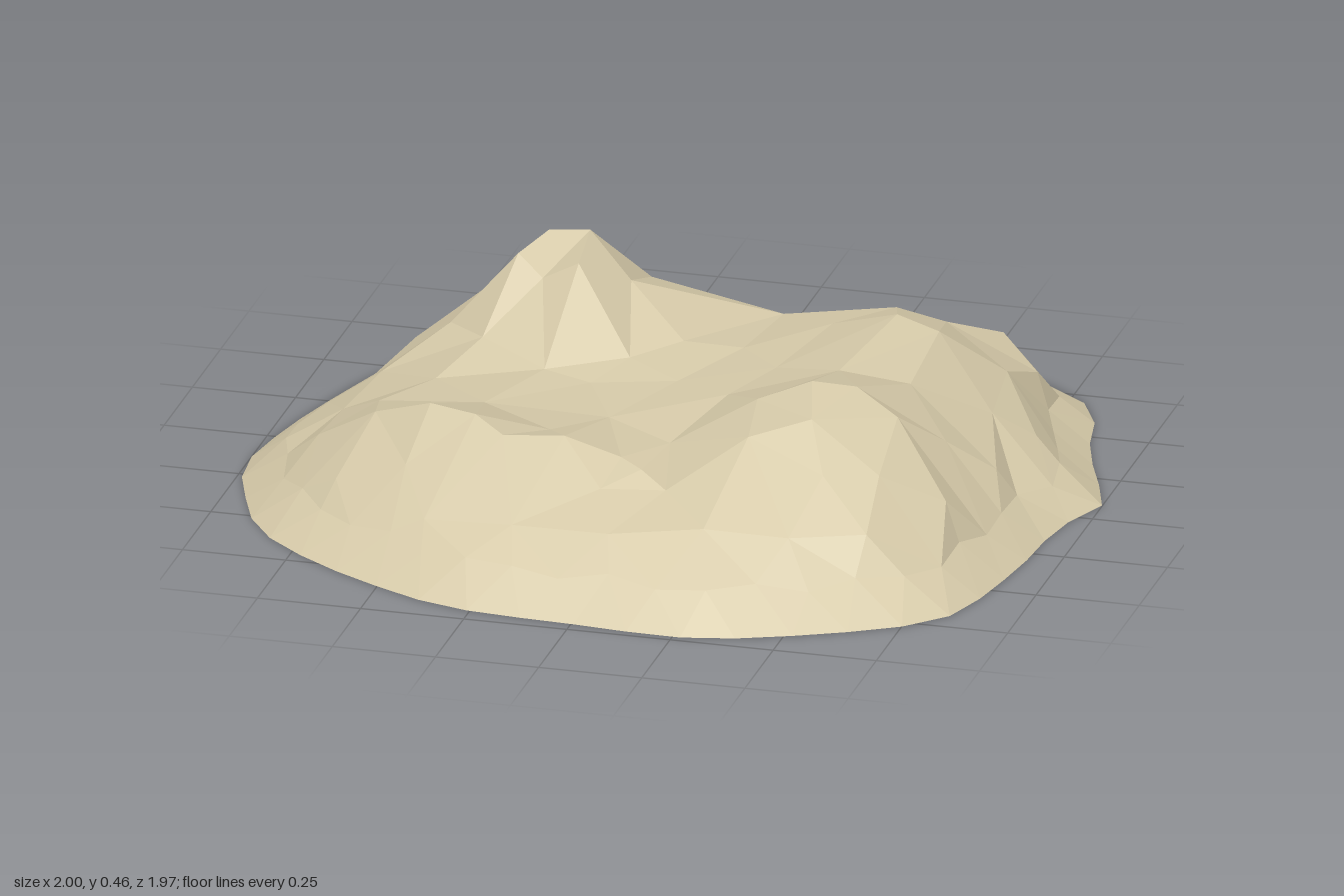
import * as THREE from 'three';
import { ConvexGeometry } from 'three/addons/geometries/ConvexGeometry.js';

// foot of the hill, x, z
const rim = [
  [0.06, -0.99], [0.15, -0.975], [0.28, -0.93], [0.55, -0.85], [0.72, -0.76], [0.82, -0.66],
  [0.87, -0.45], [0.94, -0.25], [1.0, -0.1], [0.94, 0.07], [0.92, 0.3], [0.87, 0.6],
  [0.83, 0.7], [0.73, 0.79], [0.4, 0.95], [0.27, 0.98], [0, 0.965], [-0.29, 0.94],
  [-0.43, 0.89], [-0.7, 0.73], [-0.86, 0.58], [-0.95, 0.38], [-1.0, 0.2], [-0.98, 0],
  [-0.92, -0.25], [-0.86, -0.43], [-0.73, -0.66], [-0.6, -0.75], [-0.35, -0.83], [-0.2, -0.89],
];

// landmarks, x, z, height
const peak = [
  [-0.31, -0.34, 0.46], [-0.41, -0.34, 0.45], [-0.46, -0.25, 0.42], [-0.39, -0.21, 0.38],
  [-0.3, -0.2, 0.43], [-0.2, -0.3, 0.36], [-0.04, -0.18, 0.27], [-0.61, -0.2, 0.25],
  [-0.5, -0.08, 0.27], [-0.58, -0.42, 0.26], [-0.4, -0.52, 0.3], [-0.2, -0.48, 0.3],
];
const basin = [
  [-0.2, 0.06, 0.24], [-0.32, 0.03, 0.25], [-0.14, -0.07, 0.26], [-0.57, 0.08, 0.22],
  [-0.4, 0.27, 0.25], [-0.1, 0.26, 0.24], [0, 0.02, 0.25], [0.1, -0.2, 0.26],
  [0.15, 0.12, 0.27], [0.08, 0.38, 0.24], [0.22, -0.05, 0.28], [-0.2, 0.42, 0.26],
  [-0.66, 0.25, 0.22],
];
const frontRidge = [
  [-0.62, 0.43, 0.265], [-0.47, 0.49, 0.325], [-0.35, 0.53, 0.325], [-0.27, 0.58, 0.3],
  [-0.14, 0.51, 0.285], [0, 0.52, 0.25], [0.06, 0.56, 0.24], [0.13, 0.6, 0.21],
  [-0.02, 0.63, 0.21], [0.3, 0.49, 0.32], [-0.5, 0.6, 0.21],
];
const leftHump = [
  [0.4, 0.29, 0.395], [0.5, 0.26, 0.38], [0.27, 0.3, 0.34], [0.44, 0.44, 0.36],
  [0.61, 0.3, 0.33], [0.5, 0.56, 0.27], [0.62, 0.5, 0.26], [0.4, 0.05, 0.33],
  [0.57, 0.04, 0.31], [0.7, 0.2, 0.24],
];
const backHump = [
  [0.45, -0.28, 0.35], [0.56, -0.25, 0.33], [0.41, -0.42, 0.31], [0.28, -0.33, 0.29],
  [0.52, -0.46, 0.27], [0.62, -0.6, 0.2], [0.7, -0.34, 0.21], [0.73, -0.1, 0.2],
  [0.12, -0.48, 0.24], [0.2, -0.63, 0.18],
];
const flanks = [
  [0.03, -0.72, 0.14], [-0.2, -0.68, 0.17], [-0.45, -0.64, 0.18], [-0.63, -0.54, 0.17],
  [-0.73, -0.33, 0.15], [-0.75, -0.1, 0.15], [-0.78, 0.13, 0.14], [-0.78, 0.35, 0.16],
  [-0.68, 0.56, 0.14], [-0.42, 0.73, 0.13], [-0.2, 0.76, 0.15], [0.04, 0.78, 0.16],
  [0.26, 0.74, 0.18], [0.46, 0.72, 0.17], [0.63, 0.65, 0.17], [0.76, 0.42, 0.18],
  [0.8, 0.12, 0.15], [0.82, -0.16, 0.13], [0.73, -0.5, 0.15], [0.4, -0.72, 0.14],
];

// lower half of the hull of points lifted onto a paraboloid = even triangulation
function triangulate(points) {
  const key = (x, z) => `${Math.round(x * 1000)},${Math.round(z * 1000)}`;
  const heights = new Map(points.map(([x, z, h]) => [key(x, z), h]));
  const hull = new ConvexGeometry(points.map(([x, z]) => new THREE.Vector3(x, x * x + z * z, z)));
  const p = hull.attributes.position;
  const out = [];
  for (let i = 0; i < p.count; i += 3) {
    const [a, b, c] = [i, i + 1, i + 2].map((j) => {
      const x = p.getX(j), z = p.getZ(j);
      return [x, heights.get(key(x, z)), z];
    });
    // slivers that only join points of the foot
    if (a[1] + b[1] + c[1] === 0) continue;
    // faces of the upper hull turn the other way
    const up = (b[2] - a[2]) * (c[0] - a[0]) - (b[0] - a[0]) * (c[2] - a[2]);
    if (up >= 0) continue;
    out.push(...a, ...c, ...b);
  }
  const geometry = new THREE.BufferGeometry();
  geometry.setAttribute('position', new THREE.Float32BufferAttribute(out, 3));
  geometry.computeVertexNormals();
  return geometry;
}

export function createModel() {
  const group = new THREE.Group();
  group.name = 'hill';
  const sand = new THREE.MeshStandardMaterial({ color: 0xd6caa9, side: THREE.DoubleSide });
  sand.name = 'sandstone';

  // evenly spaced foot, and an uneven band just above it
  const outline = new THREE.CatmullRomCurve3(rim.map(([x, z]) => new THREE.Vector3(x, 0, z)), true);
  const round = (v) => Math.round(v * 1000) / 1000;
  const foot = [], band = [];
  const n = 48;
  for (let i = 0; i < n; i++) {
    const f = outline.getPointAt(i / n);
    foot.push([round(f.x), round(f.z), 0]);
    const b = outline.getPointAt((i + 0.5) / n);
    const s = 0.905 + 0.012 * Math.sin(i * 2.4);
    band.push([round(b.x * s), round(b.z * s), (1 - s) * (0.75 + 0.15 * b.z)]);
  }

  const land = new THREE.Mesh(
    triangulate([...foot, ...band, ...flanks, ...peak, ...basin, ...frontRidge, ...leftHump, ...backHump]),
    sand,
  );
  land.name = 'hillside';
  group.add(land);
  return group;
}
